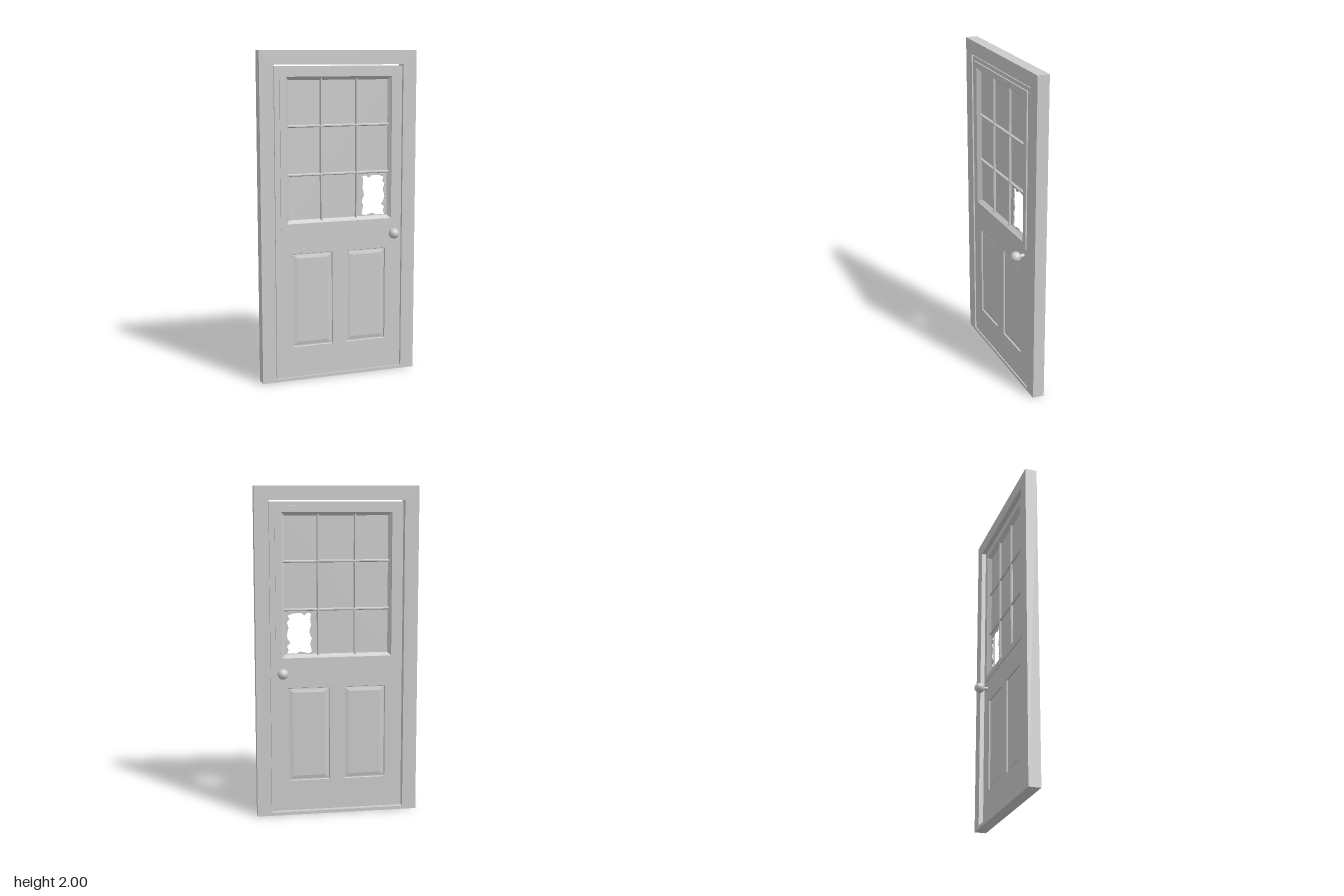
import * as THREE from 'three';

const material = new THREE.MeshStandardMaterial({ color: 0xcccccc, side: THREE.DoubleSide });
const DOOR_Z = -0.002; // middle plane of the door leaf
const HALF = 0.02; // half thickness of the door leaf

function add(parent, name, geometry, x = 0, y = 0, z = 0) {
  const mesh = new THREE.Mesh(geometry, material);
  mesh.name = name;
  mesh.position.set(x, y, z);
  parent.add(mesh);
  return mesh;
}

function rectPoints(x0, y0, x1, y1) {
  return [[x0, y0], [x1, y0], [x1, y1], [x0, y1]].map(([x, y]) => new THREE.Vector2(x, y));
}

// Flat board with holes, extruded along z from z0 to z1
function board(outline, holes, z0, z1) {
  const shape = new THREE.Shape(outline);
  holes.forEach((h) => shape.holes.push(new THREE.Path(h)));
  return new THREE.ExtrudeGeometry(shape, { depth: z1 - z0, bevelEnabled: false }).translate(0, 0, z0);
}

// Mitred moulding: a profile of [inset, z] steps run round a rectangle
function moulding(w, h, profile, capped) {
  const ring = ([inset, z]) => rectPoints(-w / 2 + inset, -h / 2 + inset, w / 2 - inset, h / 2 - inset)
    .map((p) => [p.x, p.y, z]);
  const pos = [];
  const quad = (a, b, c, d) => pos.push(...a, ...b, ...c, ...a, ...c, ...d);
  for (let j = 0; j < profile.length - 1; j++) {
    const a = ring(profile[j]);
    const b = ring(profile[j + 1]);
    for (let i = 0; i < 4; i++) {
      const k = (i + 1) % 4;
      quad(a[i], a[k], b[k], b[i]);
    }
  }
  if (capped) quad(...ring(profile[profile.length - 1]));
  const geometry = new THREE.BufferGeometry();
  geometry.setAttribute('position', new THREE.Float32BufferAttribute(pos, 3));
  geometry.computeVertexNormals();
  return geometry;
}

// Glazing bar along y with chamfered front and back
function glazingBar(length) {
  const section = [[-0.008, -0.004], [-0.003, -0.015], [0.003, -0.015], [0.008, -0.004],
    [0.008, 0.004], [0.003, 0.015], [-0.003, 0.015], [-0.008, 0.004]].map(([x, z]) => new THREE.Vector2(x, z));
  return board(section, [], -length / 2, length / 2).rotateX(Math.PI / 2);
}

export function createModel() {
  const model = new THREE.Group();
  model.name = 'door';

  // Surrounding frame with threshold
  add(model, 'frame', board(rectPoints(-0.496, 0, 0.496, 2),
    [rectPoints(-0.41, 0.02, 0.41, 1.915)], -0.048, 0.024));

  const leaf = new THREE.Group();
  leaf.name = 'doorLeaf';
  leaf.position.z = DOOR_Z;
  model.add(leaf);

  // Leaf with openings for the window and two lower panels
  add(leaf, 'leafBoard', board(rectPoints(-0.405, 0.022, 0.405, 1.907), [
    rectPoints(-0.345, 0.965, 0.345, 1.855),
    rectPoints(-0.3, 0.21, -0.045, 0.79),
    rectPoints(0.045, 0.21, 0.3, 0.79),
  ], -HALF, HALF));

  // Both faces carry the same casing, panels and knob
  for (const face of ['front', 'back']) {
    const side = new THREE.Group();
    side.name = face + 'Side';
    const sign = face === 'front' ? 1 : -1;
    if (sign < 0) side.rotation.y = Math.PI;
    leaf.add(side);

    add(side, face + 'WindowCasing', moulding(0.745, 0.945,
      [[0, HALF], [0, 0.028], [0.037, 0.028], [0.041, 0.022], [0.057, 0.003]]), 0, 1.41);

    for (const x of [-0.1725, 0.1725]) {
      add(side, face + 'Panel', moulding(0.255, 0.58,
        [[0, HALF], [0.003, 0.011], [0.008, 0.011], [0.03, 0.016]], true), x, 0.5);
    }

    const knobX = 0.337 * sign;
    const stem = new THREE.CylinderGeometry(0.011, 0.011, 0.06, 20).rotateX(Math.PI / 2);
    add(side, face + 'KnobStem', stem, knobX, 0.886, 0.035);
    add(side, face + 'Knob', new THREE.SphereGeometry(0.032, 32, 20), knobX, 0.886, 0.073);
  }

  // Glass sheet with a broken lower pane
  const broken = [[0.155, 1.24], [0.176, 1.246], [0.197, 1.23], [0.219, 1.246], [0.271, 1.241],
    [0.298, 1.23], [0.287, 1.209], [0.303, 1.188], [0.293, 1.156], [0.303, 1.113], [0.298, 1.087],
    [0.282, 1.066], [0.303, 1.045], [0.293, 1.023], [0.303, 0.998], [0.245, 0.998], [0.224, 1.01],
    [0.171, 0.998], [0.15, 1.007], [0.16, 1.06], [0.15, 1.087], [0.166, 1.124], [0.155, 1.172],
    [0.16, 1.204]].map(([x, y]) => new THREE.Vector2(x, y));
  add(leaf, 'glass', board(rectPoints(-0.325, 0.985, 0.325, 1.835), [broken], -0.003, 0.003));

  // Glazing bars dividing the window into nine panes
  for (const x of [-0.113, 0.113]) add(leaf, 'verticalBar', glazingBar(0.85), x, 1.41);
  for (const y of [1.265, 1.555]) {
    add(leaf, 'horizontalBar', glazingBar(0.645), 0, y).rotation.z = Math.PI / 2;
  }

  return model;
}
